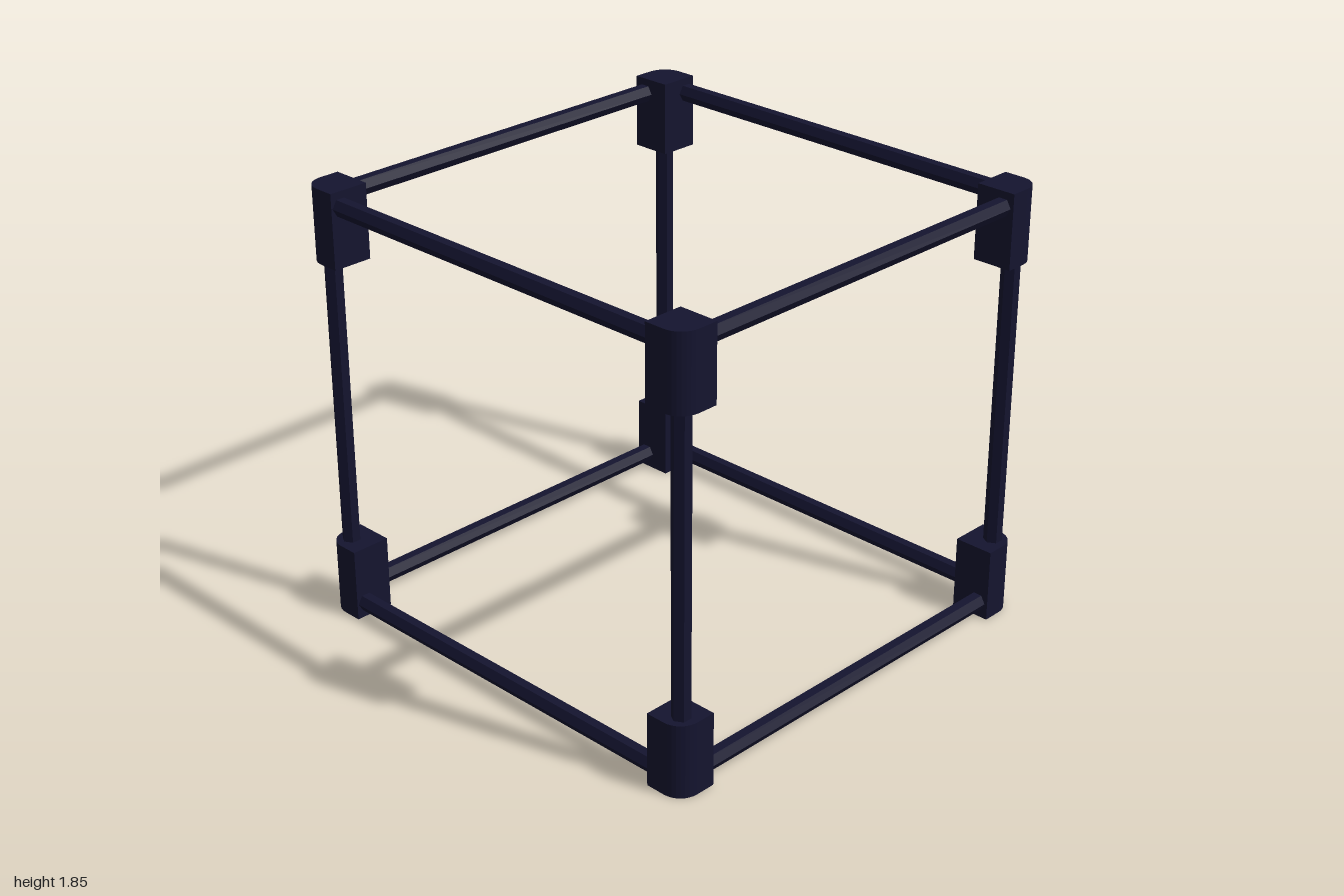
import * as THREE from 'three';

const material = new THREE.MeshStandardMaterial({ color: 0x14142f, flatShading: true });
const HEIGHT = 1.85;
const BAR_RADIUS = 0.038;

// Hexagonal bar along one axis: top bars lie flat side up, posts flat side to the front
function barGeometry(axis, length) {
  const g = new THREE.CylinderGeometry(BAR_RADIUS, BAR_RADIUS, length, 6);
  if (axis === 'x') return g.rotateZ(Math.PI / 2);
  g.rotateY(Math.PI / 2);
  return axis === 'z' ? g.rotateX(Math.PI / 2) : g;
}

// Square block with its outer vertical edge rounded
function blockGeometry(half, height, radius) {
  const s = new THREE.Shape();
  s.moveTo(-half, -half);
  s.lineTo(half, -half);
  s.lineTo(half, half - radius);
  s.absarc(half - radius, half - radius, radius, 0, Math.PI / 2, false);
  s.lineTo(-half, half);
  s.closePath();
  const g = new THREE.ExtrudeGeometry(s, { depth: height, bevelEnabled: false, curveSegments: 4 });
  return g.rotateX(-Math.PI / 2);
}

export function createModel() {
  const model = new THREE.Group();
  model.name = 'cubeFrame';
  const add = (name, geometry, x, y, z, turn = 0) => {
    const mesh = new THREE.Mesh(geometry, material);
    mesh.name = name;
    mesh.position.set(x, y, z);
    mesh.rotation.y = turn;
    model.add(mesh);
  };

  const block = blockGeometry(0.085, 0.31, 0.085);
  const post = barGeometry('y', HEIGHT - 0.3);
  const crossRail = barGeometry('x', 1.76);
  const sideRail = barGeometry('z', 1.8);

  // Corner blocks and upright posts, turned a quarter for each corner
  [[1, -1], [-1, -1], [-1, 1], [1, 1]].forEach(([sx, sz], i) => {
    for (const y of [0, HEIGHT - 0.31]) {
      add('cornerBlock', block, sx * 0.893, y, sz * 0.915, i * Math.PI / 2);
    }
    add('post', post, sx * 0.908, HEIGHT / 2, sz * 0.933);
  });

  // Horizontal rails of the lower and upper frames
  for (const y of [0.067, 1.787]) {
    for (const side of [-1, 1]) {
      add('crossRail', crossRail, 0, y, side * 0.949);
      add('sideRail', sideRail, side * 0.934, y, 0);
    }
  }
  return model;
}
